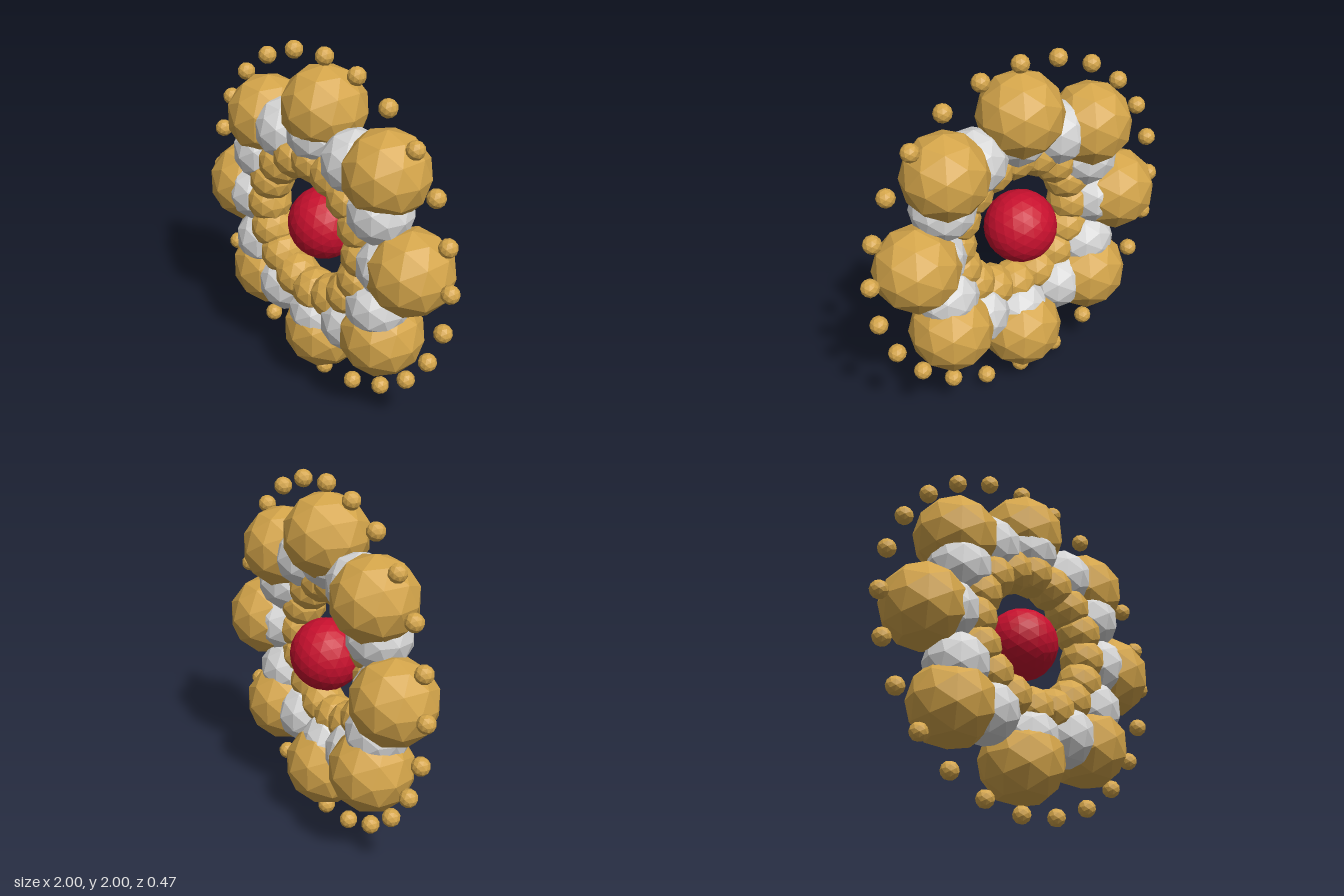
import * as THREE from 'three';

const CENTRE_Y = 1;

function material(name, color) {
  const m = new THREE.MeshStandardMaterial({ color, flatShading: true });
  m.name = name;
  return m;
}

// Ring of equal faceted balls around the z axis, the first one at the top
function ballRing(name, mat, { count, ringRadius, ballRadius, z = 0 }) {
  const ring = new THREE.Group();
  ring.name = name + 'Ring';
  const geometry = new THREE.IcosahedronGeometry(ballRadius, 1);
  for (let i = 0; i < count; i++) {
    const a = (i / count) * Math.PI * 2;
    const ball = new THREE.Mesh(geometry, mat);
    ball.name = name;
    ball.position.set(Math.sin(a) * ringRadius, Math.cos(a) * ringRadius, z);
    ring.add(ball);
  }
  return ring;
}

export function createModel() {
  const gold = material('gold', 0xd4a54a);
  const silver = material('silver', 0xd6d6d6);
  const red = material('red', 0xc8102e);

  const model = new THREE.Group();
  model.name = 'jewelledRosette';

  // Central stone
  const stone = new THREE.Mesh(new THREE.IcosahedronGeometry(0.2, 3), red);
  stone.name = 'centreStone';

  // Rings from the inside out; the inner ones sit further forward
  model.add(
    stone,
    ballRing('innerBall', gold, { count: 16, ringRadius: 0.4, ballRadius: 0.13, z: 0.066 }),
    ballRing('middleBall', silver, { count: 12, ringRadius: 0.55, ballRadius: 0.18, z: 0.033 }),
    ballRing('outerBall', gold, { count: 8, ringRadius: 0.672, ballRadius: 0.235 }),
    ballRing('rimBead', gold, { count: 24, ringRadius: 0.95, ballRadius: 0.05 })
  );
  for (const part of model.children) part.position.y = CENTRE_Y;
  return model;
}
